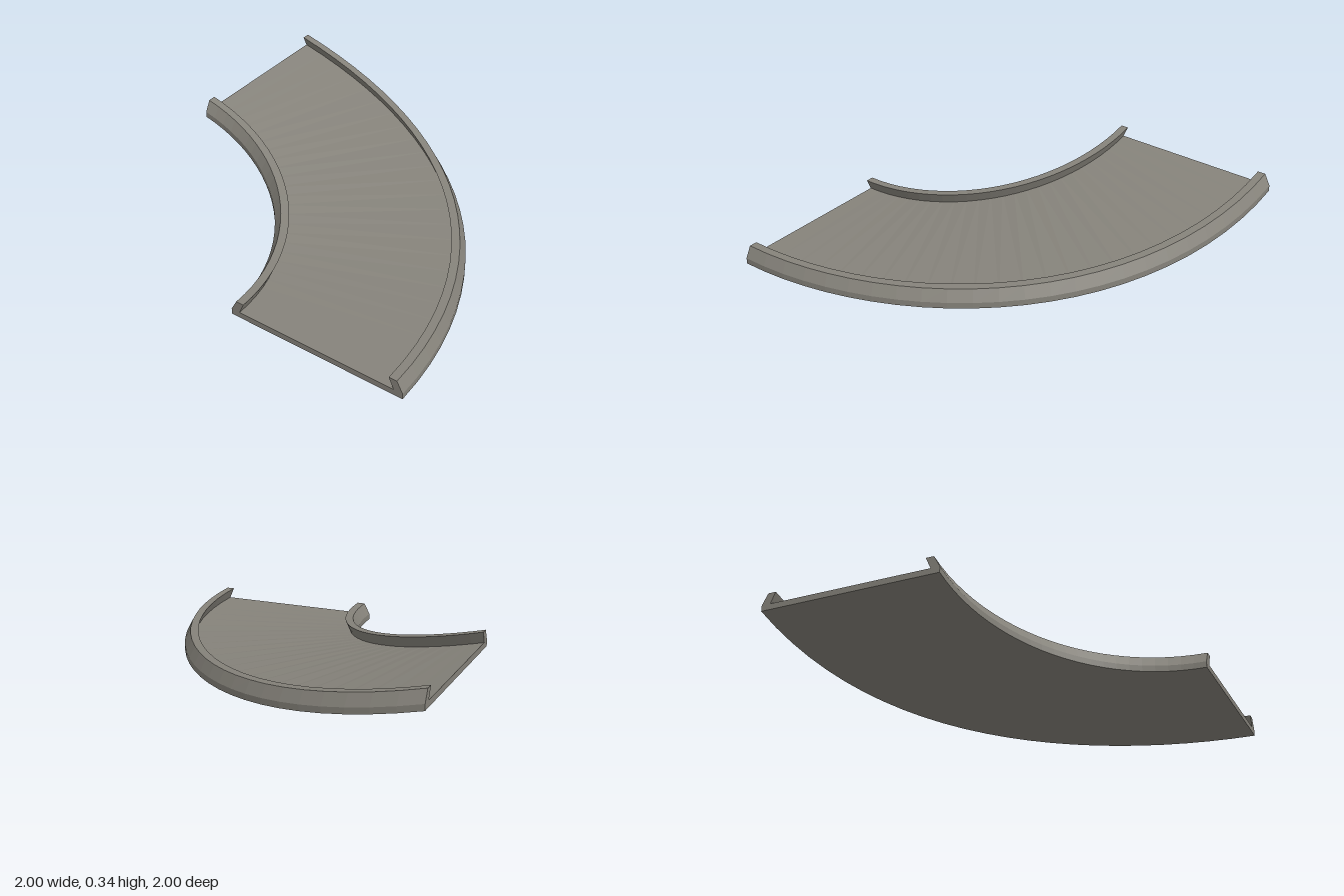
import * as THREE from 'three';

const SEGMENTS = 24;
const RISE = 0.25;

// Height of the ramp: straight climb on the inner edge, eased climb on the outer edge
function rampHeight(r, angle) {
  const t = 1 - Math.cos(angle);
  return RISE * ((2 - r) * t + (r - 1) * t * t);
}

// Sweeps a counter-clockwise [radius, height] profile round the quarter turn, with end caps
function sweep(profile) {
  const n = profile.length;
  const positions = [];
  const index = [];
  for (let i = 0; i <= SEGMENTS; i++) {
    const angle = (i / SEGMENTS) * Math.PI / 2;
    for (const [r, h] of profile) {
      positions.push(-1 + r * Math.cos(angle), h + rampHeight(r, angle), 1 - r * Math.sin(angle));
    }
  }
  for (let i = 0; i < SEGMENTS; i++) {
    for (let j = 0; j < n; j++) {
      const k = (j + 1) % n;
      const a = i * n + j, b = i * n + k;
      index.push(a, a + n, b + n, a, b + n, b);
    }
  }
  const outline = profile.map(([r, h]) => new THREE.Vector2(r, h));
  const last = SEGMENTS * n;
  for (const [a, b, c] of THREE.ShapeUtils.triangulateShape(outline, [])) {
    index.push(a, b, c, last + a, last + c, last + b);
  }
  const geometry = new THREE.BufferGeometry();
  geometry.setAttribute('position', new THREE.Float32BufferAttribute(positions, 3));
  geometry.setIndex(index);
  const flat = geometry.toNonIndexed();
  flat.computeVertexNormals();
  return flat;
}

export function createModel() {
  const group = new THREE.Group();
  group.name = 'curvedRamp';
  const stone = new THREE.MeshStandardMaterial({ color: 0x86837b, flatShading: true });
  stone.name = 'warmGrey';

  const add = (name, profile) => {
    const mesh = new THREE.Mesh(sweep(profile), stone);
    mesh.name = name;
    group.add(mesh);
  };

  // Floor slab of the ramp
  add('deck', [[1, 0], [2, 0], [2, 0.033], [1, 0.033]]);

  // Kerbs leaning in over the deck
  const kerb = [[1, 0.033], [1.05, 0.033], [1.077, 0.095], [1.033, 0.095]];
  add('innerKerb', kerb);
  add('outerKerb', kerb.map(([r, h]) => [3 - r, h]).reverse());

  return group;
}
